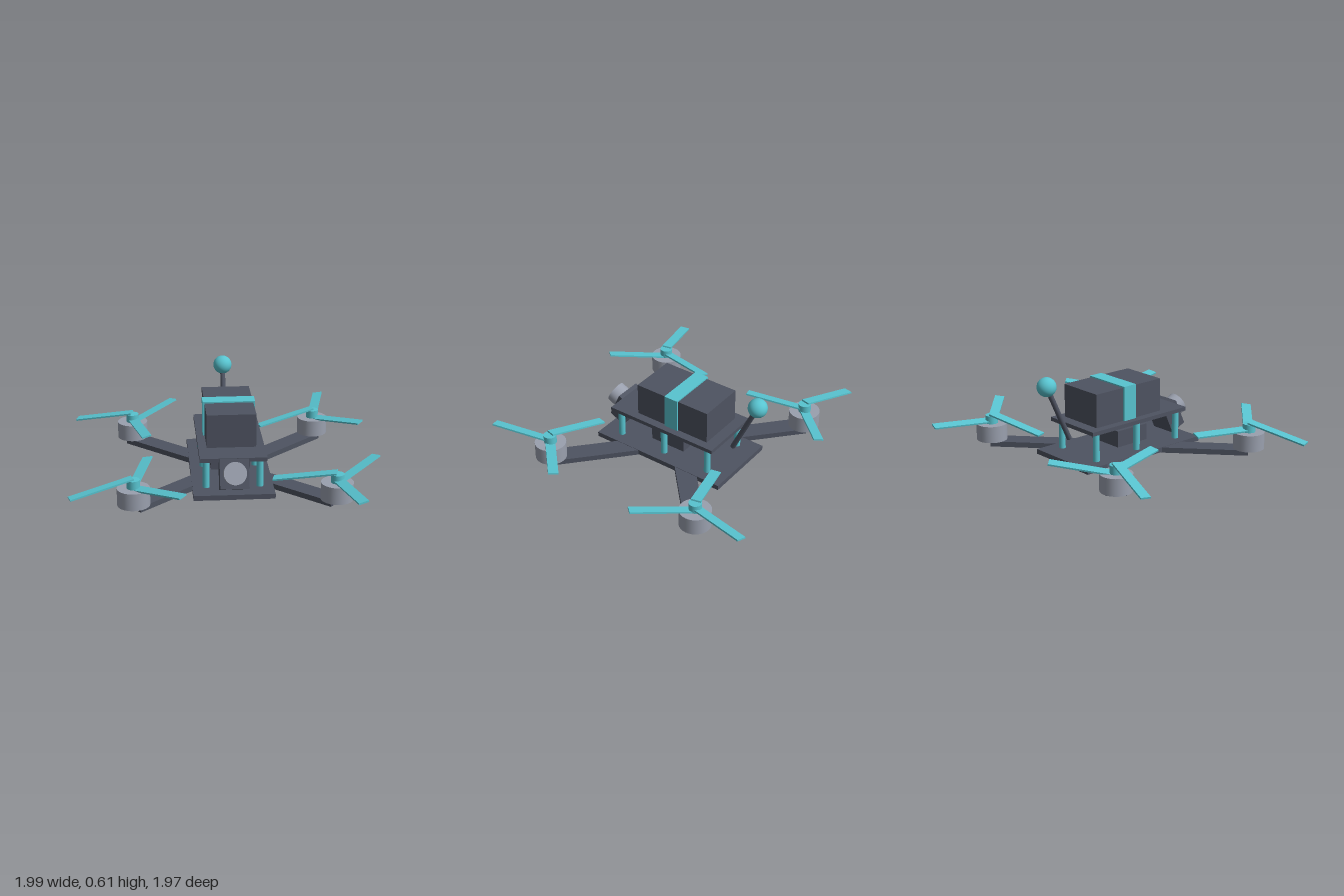
import * as THREE from 'three';

export function createModel() {
  const model = new THREE.Group();
  model.name = 'quadcopter';

  const mat = (name, color) => {
    const m = new THREE.MeshStandardMaterial({ color });
    m.name = name;
    return m;
  };
  const dark = mat('dark slate', 0x4e5361);
  const cyan = mat('cyan', 0x58c4d0);
  const grey = mat('motor grey', 0x9aa0ae);

  const add = (parent, name, geometry, material, x = 0, y = 0, z = 0) => {
    const mesh = new THREE.Mesh(geometry, material);
    mesh.name = name;
    mesh.position.set(x, y, z);
    parent.add(mesh);
    return mesh;
  };
  const box = (w, h, d) => new THREE.BoxGeometry(w, h, d);
  const cyl = (r, h, n = 32) => new THREE.CylinderGeometry(r, r, h, n);

  // Everything is laid out around the frame's centre line
  const frame = new THREE.Group();
  frame.name = 'frame';
  frame.position.set(0.04, 0, -0.005);
  model.add(frame);

  // Plates, electronics stack, battery and strap
  add(frame, 'basePlate', box(0.52, 0.033, 0.98), dark, 0, 0.0215, 0);
  add(frame, 'topPlate', box(0.43, 0.026, 0.81), dark, 0, 0.24, 0);
  add(frame, 'electronicsStack', box(0.255, 0.11, 0.255), dark, 0, 0.12, 0.005);
  add(frame, 'battery', box(0.32, 0.223, 0.55), dark, 0, 0.3645, -0.055);
  add(frame, 'batteryStrap', box(0.345, 0.232, 0.1), cyan, 0, 0.369, -0.055);

  // Standoffs between the plates
  for (const x of [-0.173, 0.173]) {
    for (const z of [-0.345, 0, 0.35]) {
      add(frame, 'standoff', cyl(0.022, 0.192, 16), cyan, x, 0.132, z);
    }
  }

  // Arms, motors and propellers at the four corners
  const mx = 0.635, mz = 0.58;
  const armLength = Math.hypot(mx, mz);
  const bladeLength = 0.41;
  for (const sx of [-1, 1]) {
    for (const sz of [-1, 1]) {
      const arm = add(frame, 'arm', box(armLength, 0.036, 0.13), dark,
        sx * mx / 2, 0.018, sz * mz / 2);
      arm.rotation.y = -Math.atan2(sz * mz, sx * mx);

      const unit = new THREE.Group();
      unit.name = 'motorUnit';
      unit.position.set(sx * mx, 0, sz * mz);
      frame.add(unit);
      add(unit, 'motor', cyl(0.103, 0.112), grey, 0, 0.092, 0);
      add(unit, 'propellerHub', cyl(0.042, 0.06, 24), cyan, 0, 0.173, 0);

      // Each blade is tilted about its own middle; spin mirrors across corners
      for (let i = 0; i < 3; i++) {
        const a = -sx * sz * THREE.MathUtils.degToRad(163.5 + i * 120);
        const r = bladeLength / 2;
        const blade = add(unit, 'propellerBlade', box(bladeLength, 0.011, 0.065), cyan,
          Math.cos(a) * r, 0.174, Math.sin(a) * r);
        blade.rotation.set(0, -a, 0.2, 'ZYX');
      }
    }
  }

  // Camera tilted upward at the nose
  const camera = new THREE.Group();
  camera.name = 'camera';
  camera.position.set(0, 0.15, 0.42);
  camera.rotation.x = -THREE.MathUtils.degToRad(25);
  frame.add(camera);
  add(camera, 'cameraBody', box(0.185, 0.19, 0.12), dark);
  add(camera, 'cameraLens', cyl(0.073, 0.09), grey, 0, 0, 0.087).rotation.x = Math.PI / 2;

  // Antenna leaning backward with a ball tip
  const foot = new THREE.Vector3(0, 0.165, -0.425);
  const tip = new THREE.Vector3(0, 0.545, -0.602);
  const rodAxis = tip.clone().sub(foot);
  const rod = add(frame, 'antennaRod', cyl(0.017, rodAxis.length(), 16), dark);
  rod.position.copy(foot).add(tip).multiplyScalar(0.5);
  rod.quaternion.setFromUnitVectors(new THREE.Vector3(0, 1, 0), rodAxis.normalize());
  add(frame, 'antennaBall', new THREE.SphereGeometry(0.063, 32, 20), cyan, tip.x, tip.y, tip.z);

  return model;
}
